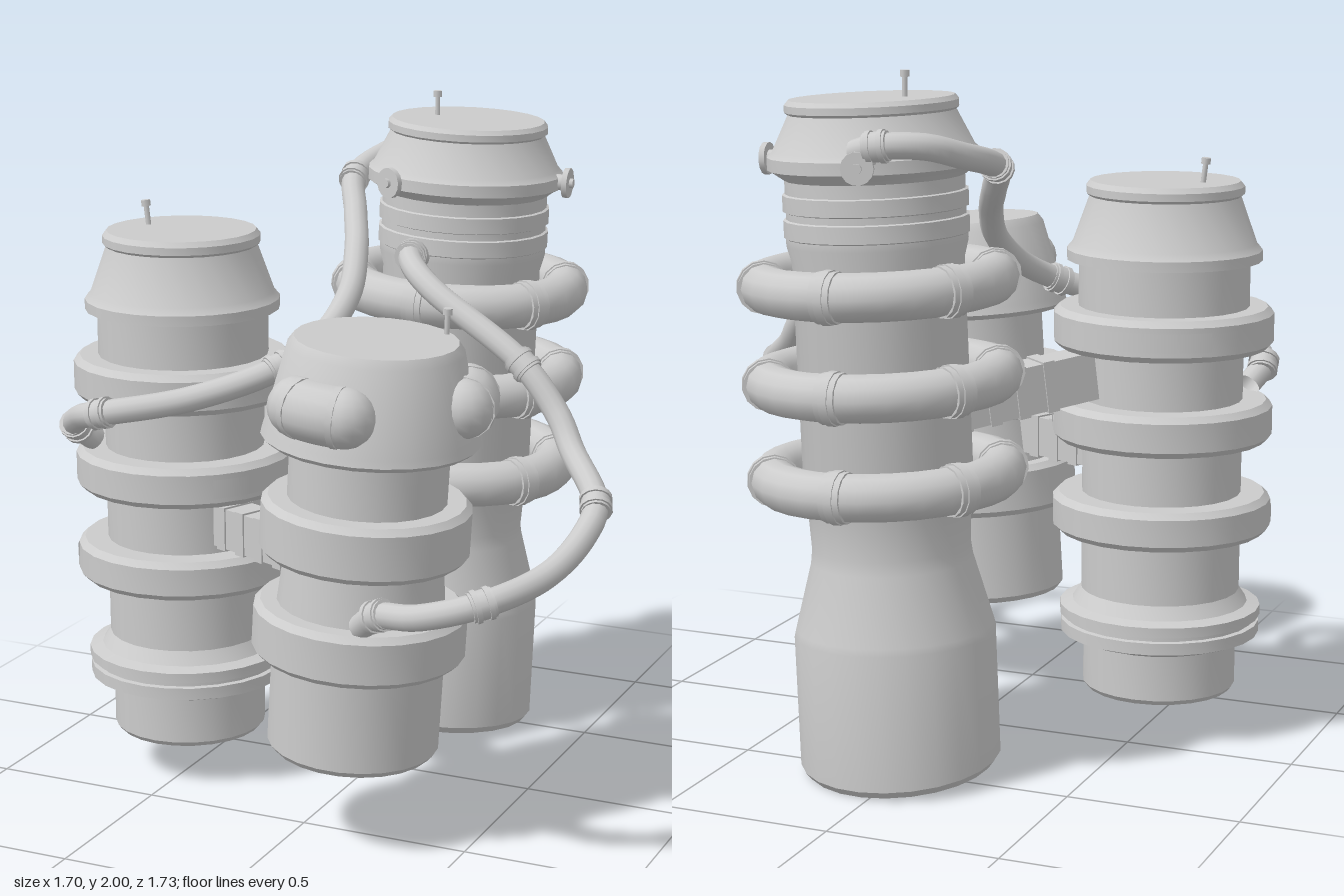
import * as THREE from 'three';
import { toCreasedNormals } from 'three/addons/utils/BufferGeometryUtils.js';

const mat = new THREE.MeshStandardMaterial({ color: 0xcccccc, side: THREE.DoubleSide });
const V = (x, y, z) => new THREE.Vector3(x, y, z);
// point on a circle, angle in degrees from the front towards +x
const polar = (deg, r, y) => {
  const a = THREE.MathUtils.degToRad(deg);
  return V(Math.sin(a) * r, y, Math.cos(a) * r);
};

function add(parent, name, geo) {
  const m = new THREE.Mesh(geo, mat);
  m.name = name;
  parent.add(m);
  return m;
}

// turned body from [radius, height] pairs, bottom to top
function turned(parent, name, pairs, sides = 24, rule) {
  const geo = new THREE.LatheGeometry(pairs.map(([r, y]) => new THREE.Vector2(r, y)), sides);
  if (rule) {
    const p = geo.attributes.position;
    for (let i = 0; i < p.count; i++) p.setY(i, rule(p.getX(i), p.getY(i), p.getZ(i)));
  }
  return add(parent, name, toCreasedNormals(geo, 0.55));
}

// bevelled belt profile between two heights
const belt = (r, y0, y1, inner, b = 0.018) =>
  [[inner, y0], [r - b, y0], [r, y0 + b], [r, y1 - b], [r - b, y1], [inner, y1]];

// cylinder centred on a point with its axis along dir
function collar(parent, name, pos, dir, r, len, sides = 14) {
  const m = add(parent, name, new THREE.CylinderGeometry(r, r, len, sides));
  m.position.copy(pos);
  m.quaternion.setFromUnitVectors(V(0, 1, 0), dir.clone().normalize());
  return m;
}

function pin(parent, x, y, z, lean = 0) {
  const g = new THREE.Group();
  g.name = 'antenna';
  g.position.set(x, y, z);
  g.rotation.z = lean;
  collar(g, 'antennaRod', V(0, 0.025, 0), V(0, 1, 0), 0.008, 0.08, 8);
  collar(g, 'antennaTip', V(0, 0.063, 0), V(0, 1, 0), 0.014, 0.018, 8);
  parent.add(g);
}

function leftTower() {
  const g = new THREE.Group();
  g.name = 'leftTower';
  g.position.set(-0.525, 0, 0.2);
  turned(g, 'leftBody', [
    [0, 0.135], [0.215, 0.135], [0.227, 0.15], [0.227, 0.285], [0.27, 0.3], [0.295, 0.31], [0.295, 0.345],
    [0.28, 0.347], [0.28, 0.36], [0.298, 0.362], [0.298, 0.392], [0.26, 0.402], [0.235, 0.44],
    ...belt(0.322, 0.62, 0.735, 0.235), ...belt(0.322, 0.895, 1.015, 0.235), ...belt(0.322, 1.17, 1.29, 0.235),
    [0.25, 1.29], [0.25, 1.42], [0.285, 1.425], [0.285, 1.455], [0.268, 1.475], [0.22, 1.61],
    [0.23, 1.618], [0.23, 1.64], [0.218, 1.655], [0, 1.655]]);
  // vent panels set round the belts
  for (const [y, start, end] of [[0.678, -100, -21], [0.955, 42, 118], [1.23, 135, 225]]) {
    const n = 5, step = (end - start) / n;
    for (let i = 0; i < n; i++)
      add(g, 'ventPanel', new THREE.CylinderGeometry(0.325, 0.325, 0.055, 3, 1, true,
        THREE.MathUtils.degToRad(start + step * i), THREE.MathUtils.degToRad(step * 0.93))).position.y = y;
  }
  pin(g, -0.122, 1.655, -0.025, 0.12);
  return g;
}

function backTower() {
  const g = new THREE.Group();
  g.name = 'backTower';
  g.position.set(0.02, 0, -0.465);
  g.rotation.z = -0.042;
  // the foot is cut on a slant, lower at the back
  turned(g, 'backBody', [
    [0, 0.033], [0.27, 0.033], [0.287, 0.055], [0.287, 0.42], [0.282, 0.44], [0.23, 0.63], [0.225, 0.67], [0.232, 0.8],
    [0.24, 0.83], [0.24, 1.48], [0.253, 1.53], [0.253, 1.55], [0.258, 1.553], [0.258, 1.6], [0.25, 1.603],
    [0.25, 1.622], [0.258, 1.625], [0.258, 1.67], [0.25, 1.673], [0.25, 1.71], [0.285, 1.735],
    [0.295, 1.74], [0.295, 1.775], [0.28, 1.79], [0.232, 1.888], [0.241, 1.895], [0.241, 1.915], [0.23, 1.928], [0, 1.928]],
    24, (x, y, z) => (y < 0.1 ? y + 0.085 * z : y));
  // three cushion rings with six clips each
  for (const y of [0.875, 1.147, 1.42]) {
    const t = add(g, 'cushionRing', new THREE.TorusGeometry(0.322, 0.067, 12, 28));
    t.rotation.x = Math.PI / 2;
    t.position.y = y;
    for (let a = 0; a < 360; a += 60) {
      collar(g, 'ringClip', polar(a, 0.322, y), polar(a + 90, 1, 0), 0.071, 0.06);
      collar(g, 'ringClipBand', polar(a, 0.322, y), polar(a + 90, 1, 0), 0.075, 0.025);
    }
  }
  // round valves on the head
  for (const a of [-23, 95, 197]) {
    const d = polar(a, 1, 0);
    collar(g, 'valveStem', polar(a, 0.29, 1.762), d, 0.024, 0.06);
    collar(g, 'valveWheel', polar(a, 0.317, 1.762), d, 0.045, 0.016);
    collar(g, 'valveHub', polar(a, 0.327, 1.762), d, 0.014, 0.018, 8);
  }
  pin(g, -0.105, 1.928, -0.01, 0.042);
  return g;
}

function frontTower() {
  const g = new THREE.Group();
  g.name = 'frontTower';
  g.position.set(0.16, 0.28, 0.51);
  g.rotation.set(0.012, 0, -0.068);
  turned(g, 'frontBody', [
    [0, 0], [0.228, 0], [0.243, 0.018], [0.243, 0.28],
    ...belt(0.3, 0.285, 0.435, 0.236), ...belt(0.293, 0.58, 0.74, 0.222),
    [0.222, 0.9], [0.285, 0.9], [0.303, 0.915], [0.298, 0.935], [0.243, 1.165], [0.225, 1.19], [0, 1.19]]);
  // curved pods wrapped round the head
  for (const a of [-9, 108, 198]) {
    const arc = h => new THREE.CatmullRomCurve3(
      [-h, -h / 2, 0, h / 2, h].map(d => polar(a + d, 0.262, 1.035)));
    add(g, 'headPod', new THREE.TubeGeometry(arc(17), 10, 0.083, 14));
    for (const s of [-17, 17]) {
      const end = add(g, 'podEnd', new THREE.SphereGeometry(0.083, 14, 10));
      end.position.copy(polar(a + s, 0.262, 1.035));
    }
    for (const s of [-13, 13]) {
      collar(g, 'podBand', polar(a + s, 0.262, 1.035), polar(a + s + 90, 1, 0), 0.086, 0.018);
    }
  }
  pin(g, 0.14, 1.19, -0.155, 0.02);
  return g;
}

// segmented bridge between two towers
function bridge(parent, a, b, w, h) {
  const g = new THREE.Group();
  g.name = 'bridge';
  const len = a.distanceTo(b);
  add(g, 'bridgeBeam', new THREE.BoxGeometry(w, h, len));
  for (const f of [-0.24, -0.08, 0.08, 0.24])
    add(g, 'bridgeBand', new THREE.BoxGeometry(w + 0.01, h + 0.01, 0.035)).position.z = f * len;
  g.position.copy(a).lerp(b, 0.5);
  g.lookAt(b);
  parent.add(g);
}

// hose through points, with double-banded collars at chosen points
function hose(parent, name, pts, collars) {
  const curve = new THREE.CatmullRomCurve3(pts.map(p => V(...p)), false, 'centripetal');
  const g = new THREE.Group();
  g.name = name;
  add(g, 'hoseTube', new THREE.TubeGeometry(curve, 80, 0.036, 12));
  for (const i of collars) {
    const t = i / (pts.length - 1), p = curve.getPoint(t), d = curve.getTangent(t);
    collar(g, 'hoseCollar', p, d, 0.041, 0.065);
    for (const s of [-0.018, 0.018]) collar(g, 'hoseBand', p.clone().addScaledVector(d, s), d, 0.046, 0.014);
  }
  parent.add(g);
}

export function createModel() {
  const model = new THREE.Group();
  model.name = 'threeTowers';
  model.add(leftTower(), backTower(), frontTower());

  bridge(model, V(-0.36, 1.105, 0.02), V(0.02, 1.03, -0.4), 0.1, 0.14);
  bridge(model, V(-0.42, 0.82, 0.275), V(0.05, 0.82, 0.475), 0.1, 0.12);

  hose(model, 'leftHose', [
    [0.03, 1.80, -0.72], [-0.04, 1.82, -0.735], [-0.15, 1.82, -0.68], [-0.215, 1.79, -0.58], [-0.235, 1.74, -0.38],
    [-0.17, 1.66, -0.24], [-0.09, 1.58, -0.07], [-0.045, 1.48, 0.08], [-0.06, 1.39, 0.22], [-0.13, 1.315, 0.37],
    [-0.34, 1.235, 0.51], [-0.585, 1.185, 0.585], [-0.7, 1.145, 0.51], [-0.765, 1.09, 0.42], [-0.74, 1.04, 0.36]],
    [1, 4, 9, 11, 13]);
  hose(model, 'rightHose', [
    [0.05, 1.54, -0.25], [0.05, 1.56, -0.15], [0.1, 1.54, -0.06], [0.19, 1.49, 0], [0.49, 1.32, 0.07],
    [0.61, 1.19, 0.1], [0.67, 1.11, 0.15], [0.8, 1.01, 0.31], [0.805, 0.95, 0.42], [0.765, 0.885, 0.6],
    [0.655, 0.845, 0.78], [0.49, 0.8, 0.825], [0.36, 0.775, 0.785], [0.29, 0.72, 0.74]],
    [1, 4, 7, 10, 12]);
  return model;
}
